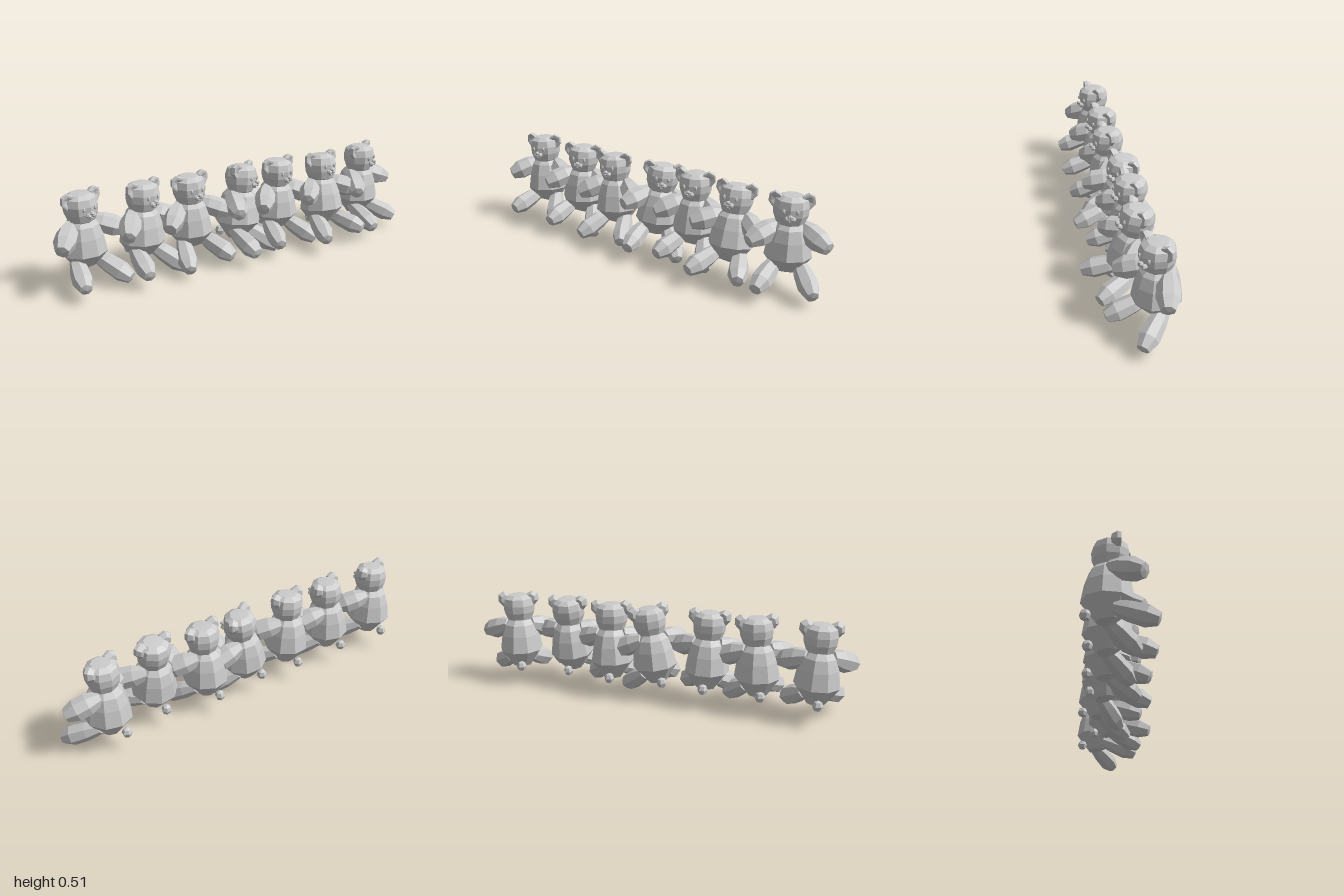
import * as THREE from 'three';

const material = new THREE.MeshStandardMaterial({ color: 0xcccccc, flatShading: true });

function part(name, geometry, x = 0, y = 0, z = 0) {
  const mesh = new THREE.Mesh(geometry, material);
  mesh.name = name;
  mesh.position.set(x, y, z);
  return mesh;
}

// faceted solid of revolution from [radius, height] pairs, bottom to top
function turned(profile, sides) {
  return new THREE.LatheGeometry(profile.map(([r, y]) => new THREE.Vector2(r, y)), sides);
}

// plump limb running from one point to another; profile heights are fractions
function limb(name, from, to, profile, sides) {
  const a = new THREE.Vector3(...from);
  const dir = new THREE.Vector3(...to).sub(a);
  const length = dir.length();
  const mesh = part(name, turned(profile.map(([r, t]) => [r, t * length]), sides), ...from);
  mesh.quaternion.setFromUnitVectors(new THREE.Vector3(0, 1, 0), dir.normalize());
  return mesh;
}

function blob(name, x, y, z, rx, ry, rz) {
  const g = new THREE.SphereGeometry(1, 6, 4);
  g.scale(rx, ry, rz);
  return part(name, g, x, y, z);
}

const ARM = [[0, 0], [0.034, 0.02], [0.053, 0.36], [0.055, 0.7], [0.034, 1], [0, 1.03]];
const LEG = [[0, 0], [0.032, 0.02], [0.046, 0.35], [0.051, 0.74], [0.031, 1], [0, 1.03]];

function makeBody() {
  // pear shape with a flat panel down the back; the underside rises to the front
  const body = turned([
    [0, 0.095], [0.05, 0.1], [0.114, 0.19],
    [0.1, 0.275], [0.082, 0.332], [0.05, 0.368], [0, 0.37],
  ], 9);
  body.scale(1, 1, 1.06);
  const p = body.attributes.position;
  for (let i = 0; i < p.count; i++) {
    const rise = Math.max(0, p.getZ(i)) * Math.max(0, 0.2 - p.getY(i)) * 4;
    p.setY(i, p.getY(i) + rise);
  }
  return part('body', body, 0, 0, -0.007);
}

function makeHead() {
  const head = new THREE.Group();
  head.name = 'head';
  const skull = turned([
    [0, 0.333], [0.04, 0.336], [0.067, 0.357], [0.082, 0.397],
    [0.085, 0.435], [0.076, 0.47], [0.048, 0.487], [0, 0.489],
  ], 9);
  head.add(part('skull', skull));

  for (const s of [1, -1]) {
    // ear: a cupped disc with a sunken front, tapering back into the skull
    const cup = turned([[0, -0.032], [0.024, -0.03], [0.037, -0.006], [0.034, 0.011], [0.024, 0.011], [0, 0.001]], 7);
    cup.rotateX(Math.PI / 2);
    cup.scale(1, 1.15, 1);
    const ear = part('ear', cup, s * 0.072, 0.463, 0.01);
    ear.rotation.set(0, s * 0.25, -s * 0.5);
    head.add(ear);
    head.add(blob('eye', s * 0.031, 0.427, 0.075, 0.009, 0.013, 0.008));
    head.add(blob('muzzle', s * 0.012, 0.396, 0.083, 0.016, 0.013, 0.016));
  }
  head.add(blob('nose', 0, 0.409, 0.093, 0.013, 0.01, 0.012));
  head.add(blob('chin', 0, 0.383, 0.077, 0.012, 0.009, 0.012));
  return head;
}

function makeBear(leftFootY, rightFootY) {
  const bear = new THREE.Group();
  bear.name = 'bear';
  bear.add(makeBody(), makeHead());
  bear.add(blob('tail', 0, 0.118, -0.108, 0.026, 0.028, 0.026));
  for (const s of [1, -1]) {
    const side = s > 0 ? 'left' : 'right';
    const footY = s > 0 ? leftFootY : rightFootY;
    bear.add(limb(side + 'Arm', [s * 0.05, 0.332, -0.022], [s * 0.181, 0.272, 0.09], ARM, 7));
    bear.add(limb(side + 'Leg', [s * 0.055, 0.15, -0.005], [s * 0.13, footY, 0.175], LEG, 7));
  }
  return bear;
}

// x, z, turn, lean (forward positive) and roll in degrees, left and right foot height
const ROW = [
  [-0.835, -0.06, 17, 0, 2, 0.053, 0.088],
  [-0.538, -0.055, 23, 0, -2, 0.05, 0.084],
  [-0.277, -0.05, 9, 0, 2, 0.065, 0.068],
  [0.003, -0.06, 36, 0, -7, 0.045, 0.07],
  [0.235, -0.072, 14, 0, -1, 0.058, 0.086],
  [0.497, -0.02, 10, -8, -2, 0.073, 0.062],
  [0.777, -0.084, 28, 0, -1, 0.067, 0.074],
];

// height of the point each bear tilts about
const WAIST = 0.2;

export function createModel() {
  const model = new THREE.Group();
  model.name = 'rowOfBears';
  for (const [x, z, turn, lean, roll, leftFootY, rightFootY] of ROW) {
    const pose = new THREE.Group();
    pose.name = 'posedBear';
    pose.position.set(x, WAIST, z);
    const [rx, ry, rz] = [lean, turn, roll].map(THREE.MathUtils.degToRad);
    pose.rotation.set(rx, ry, rz, 'YXZ');
    const bear = makeBear(leftFootY, rightFootY);
    bear.position.y = -WAIST;
    pose.add(bear);
    model.add(pose);
  }
  return model;
}
